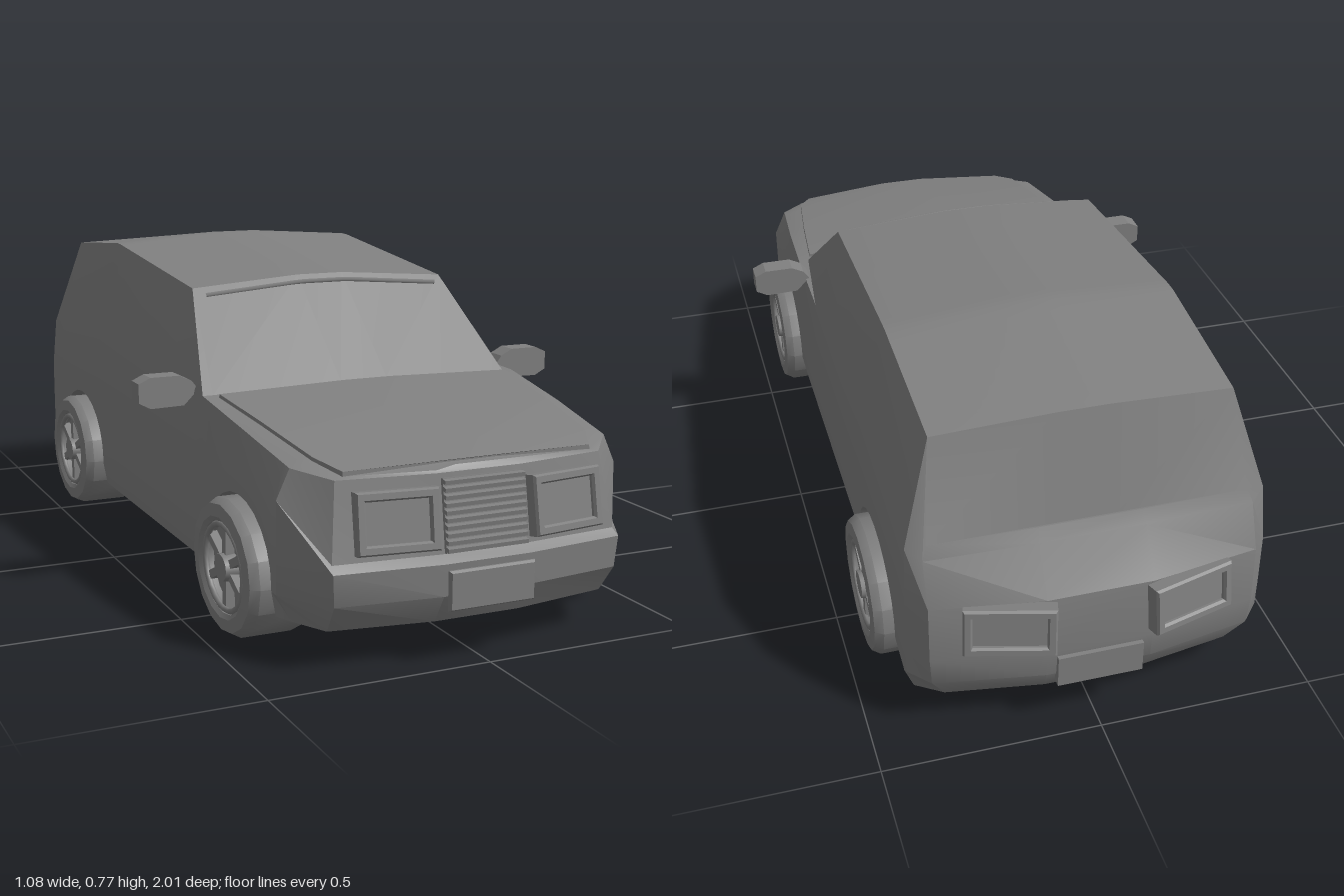
import * as THREE from 'three';
import { toCreasedNormals } from 'three/addons/utils/BufferGeometryUtils.js';

const paint = new THREE.MeshStandardMaterial({ color: 0x808080 });
paint.name = 'grey';

function add(parent, name, geometry, x = 0, y = 0, z = 0) {
  const mesh = new THREE.Mesh(geometry, paint);
  mesh.name = name;
  mesh.position.set(x, y, z);
  parent.add(mesh);
  return mesh;
}

// Skins half cross-sections (bottom to top, front to back), mirrored in x, with closed ends
function loft(halves, crease = 0.45) {
  const rings = halves.map(h => [...h, ...[...h].reverse().map(([x, y, z]) => [-x, y, z])]);
  const n = rings[0].length, last = rings.length - 1, index = [];
  for (let i = 0; i < last; i++) {
    for (let j = 0; j < n; j++) {
      const a = i * n + j, b = i * n + (j + 1) % n, c = b + n, d = a + n;
      index.push(a, d, b, b, d, c);
    }
  }
  for (let j = 0; j < n / 2 - 1; j++) {
    const a = j, b = j + 1, c = n - 2 - j, d = n - 1 - j, e = last * n;
    index.push(a, b, c, a, c, d, e + a, e + c, e + b, e + a, e + d, e + c);
  }
  const g = new THREE.BufferGeometry();
  g.setAttribute('position', new THREE.Float32BufferAttribute(rings.flat(2), 3));
  g.setIndex(index);
  return toCreasedNormals(g, crease);
}

// Upper body: z, belt half width, belt y, top half width, top y, crown y
const KEYS = [
  [0.90, 0.335, 0.402, 0.30, 0.407, 0.415],
  [0.83, 0.38, 0.415, 0.335, 0.425, 0.432],
  [0.62, 0.395, 0.452, 0.36, 0.458, 0.468],
  [0.40, 0.405, 0.485, 0.38, 0.485, 0.493],
  [0.15, 0.405, 0.49, 0.335, 0.695, 0.715],
  [-0.42, 0.405, 0.50, 0.34, 0.75, 0.77],
  [-0.80, 0.405, 0.49, 0.335, 0.715, 0.725],
];
function upper(z) {
  let i = 0;
  while (i < KEYS.length - 2 && z < KEYS[i + 1][0]) i++;
  const a = KEYS[i], b = KEYS[i + 1], t = (a[0] - z) / (a[0] - b[0]);
  return a.map((v, k) => v + (b[k] - v) * t);
}
function section(z, bottom = 0.095) {
  const [, bw, by, tw, ty, cy] = upper(z);
  return [
    [0.40, bottom, z], [0.41, Math.max(0.15, bottom + 0.003), z],
    [0.41, Math.max(0.22, bottom + 0.006), z], [0.41, 0.35, z],
    [bw, by, z], [tw, ty, z], [0.06, cy, z],
  ];
}
// Wheel arch tunnel running right across the underside
function arch(zc, rz, ry) {
  const out = [section(zc + rz)];
  for (let i = 0; i <= 12; i++) {
    const a = Math.PI * i / 12;
    out.push(section(zc + rz * Math.cos(a), 0.155 + ry * Math.sin(a)));
  }
  out.push(section(zc - rz));
  return out;
}

function bodyGeometry() {
  const nose = [
    [[0.10, 0.085, 0.94], [0.10, 0.15, 0.978], [0.10, 0.22, 0.982], [0.10, 0.235, 0.96],
      [0.10, 0.40, 0.935], [0.095, 0.405, 0.93], [0.05, 0.412, 0.925]],
    [[0.33, 0.085, 0.905], [0.335, 0.15, 0.95], [0.34, 0.22, 0.955], [0.335, 0.235, 0.938],
      [0.315, 0.40, 0.905], [0.295, 0.405, 0.90], [0.06, 0.412, 0.90]],
  ];
  const corner = section(0.83);
  corner[0] = [0.375, 0.088, 0.83];
  const tail = [
    [[0.39, 0.085, -0.85], [0.41, 0.15, -0.87], [0.41, 0.22, -0.872], [0.41, 0.35, -0.872],
      [0.403, 0.48, -0.855], [0.335, 0.715, -0.80], [0.06, 0.725, -0.80]],
    [[0.33, 0.085, -0.89], [0.365, 0.15, -0.92], [0.37, 0.22, -0.925], [0.37, 0.36, -0.92],
      [0.37, 0.46, -0.88], [0.36, 0.49, -0.868], [0.06, 0.49, -0.868]],
    [[0.11, 0.085, -0.925], [0.12, 0.15, -0.962], [0.12, 0.22, -0.968], [0.12, 0.36, -0.958],
      [0.12, 0.46, -0.888], [0.115, 0.49, -0.872], [0.06, 0.49, -0.872]],
  ];
  return loft([
    ...nose, corner, ...arch(0.622, 0.183, 0.155),
    section(0.40), section(0.15), section(-0.14),
    ...arch(-0.568, 0.193, 0.16), section(-0.80, 0.085), ...tail,
  ]);
}

// Raised bonnet skin
function bonnetGeometry() {
  return loft([0.90, 0.83, 0.62, 0.42].map(z => {
    const [, , , w, y, c] = upper(z);
    return [[w - 0.004, y - 0.012, z], [w - 0.006, y + 0.008, z], [0.06, c + 0.008, z + (z > 0.85 ? 0.025 : 0)]];
  }));
}

function frameGeometry(w, h, border, depth) {
  const rect = (s, a, b) => s.moveTo(-a, -b).lineTo(a, -b).lineTo(a, b).lineTo(-a, b).closePath();
  const shape = rect(new THREE.Shape(), w / 2, h / 2);
  shape.holes.push(rect(new THREE.Path(), w / 2 - border, h / 2 - border));
  return new THREE.ExtrudeGeometry(shape, {
    depth, bevelEnabled: true, bevelSize: 0.004, bevelThickness: 0.006, bevelSegments: 1,
  });
}
// Framed lamp facing +z
function lamp(name, w, h) {
  const g = new THREE.Group();
  g.name = name;
  add(g, 'lampFrame', frameGeometry(w - 0.008, h - 0.008, 0.013, 0.03), 0, 0, -0.022);
  add(g, 'lampLens', new THREE.BoxGeometry(w - 0.03, h - 0.03, 0.03), 0, 0, -0.013);
  return g;
}

function wheel(name) {
  const g = new THREE.Group();
  g.name = name;
  const profile = [[0, -0.04], [0.10, -0.04], [0.108, -0.074], [0.138, -0.077], [0.151, -0.06],
    [0.151, 0.055], [0.14, 0.074], [0.112, 0.077], [0.102, 0.07], [0.098, 0.045], [0, 0.045]];
  const tyre = new THREE.LatheGeometry(profile.map(p => new THREE.Vector2(...p)), 16);
  add(g, 'tyre', toCreasedNormals(tyre.rotateZ(-Math.PI / 2), 0.6));
  add(g, 'rimRing', new THREE.TorusGeometry(0.094, 0.007, 6, 24).rotateY(Math.PI / 2), 0.066);
  add(g, 'hub', new THREE.CylinderGeometry(0.03, 0.034, 0.035, 12).rotateZ(-Math.PI / 2), 0.058);
  for (let i = 0; i < 6; i++) {
    const spoke = add(g, 'spoke', new THREE.BoxGeometry(0.02, 0.07, 0.018).translate(0, 0.06, 0), 0.056);
    spoke.rotation.x = i * Math.PI / 3;
  }
  g.scale.z = 1.19;
  return g;
}

function mirrorGeometry() {
  const s = new THREE.Shape([[0.395, 0.49], [0.43, 0.455], [0.51, 0.453], [0.538, 0.468], [0.538, 0.512],
    [0.51, 0.525], [0.44, 0.525], [0.41, 0.51]].map(p => new THREE.Vector2(...p)));
  return new THREE.ExtrudeGeometry(s, { depth: 0.05, bevelEnabled: false });
}

export function createModel() {
  const car = new THREE.Group();
  car.name = 'car';
  add(car, 'body', bodyGeometry());
  add(car, 'bonnet', bonnetGeometry());

  // Trim along the top of the windscreen
  const trim = new THREE.CurvePath();
  const pts = [[-0.31, 0.68, 0.172], [-0.06, 0.70, 0.17], [0.06, 0.70, 0.17], [0.31, 0.68, 0.172]]
    .map(p => new THREE.Vector3(...p));
  for (let i = 0; i < 3; i++) trim.add(new THREE.LineCurve3(pts[i], pts[i + 1]));
  add(car, 'windscreenTrim', new THREE.TubeGeometry(trim, 24, 0.006, 5));

  // Grille slats
  const grille = new THREE.Group();
  grille.name = 'grille';
  grille.position.set(0.005, 0.313, 0.95);
  grille.rotation.x = -0.15;
  add(grille, 'grilleBack', new THREE.BoxGeometry(0.19, 0.155, 0.012));
  for (let i = 0; i < 10; i++) {
    const slat = add(grille, 'slat', new THREE.BoxGeometry(0.19, 0.009, 0.014), 0, -0.07 + i * 0.0156, 0.009);
    slat.rotation.x = 0.3;
  }
  car.add(grille);

  // Number plates
  add(car, 'frontPlate', new THREE.BoxGeometry(0.195, 0.078, 0.016), 0.005, 0.165, 0.99);
  add(car, 'frontPlateFrame', frameGeometry(0.195, 0.078, 0.004, 0.004), 0.005, 0.165, 0.988);
  add(car, 'rearPlate', new THREE.BoxGeometry(0.195, 0.078, 0.022), 0, 0.165, -0.966);

  for (const s of [1, -1]) {
    const side = s > 0 ? 'left' : 'right';
    const head = lamp(side + 'Headlamp', 0.18, 0.13);
    head.position.set(0.2 * s + 0.004, 0.314, 0.951);
    head.rotation.set(-0.16, 0.13 * s, 0, 'YXZ');
    car.add(head);

    const rear = lamp(side + 'TailLamp', 0.20, 0.115);
    rear.position.set(0.205 * s, 0.305, -0.968);
    rear.rotation.set(-0.12, Math.PI - 0.26 * s, 0, 'YXZ');
    car.add(rear);

    const mirror = add(car, side + 'Mirror', mirrorGeometry(), 0, 0, 0.295);
    if (s < 0) {
      mirror.rotation.y = Math.PI;
      mirror.position.z = 0.345;
    }
    for (const [end, z] of [['Front', 0.622], ['Rear', -0.568]]) {
      const w = wheel(side + end + 'Wheel');
      w.position.set(0.377 * s, 0.153, z);
      if (s < 0) w.rotation.y = Math.PI;
      car.add(w);
    }
  }
  return car;
}
